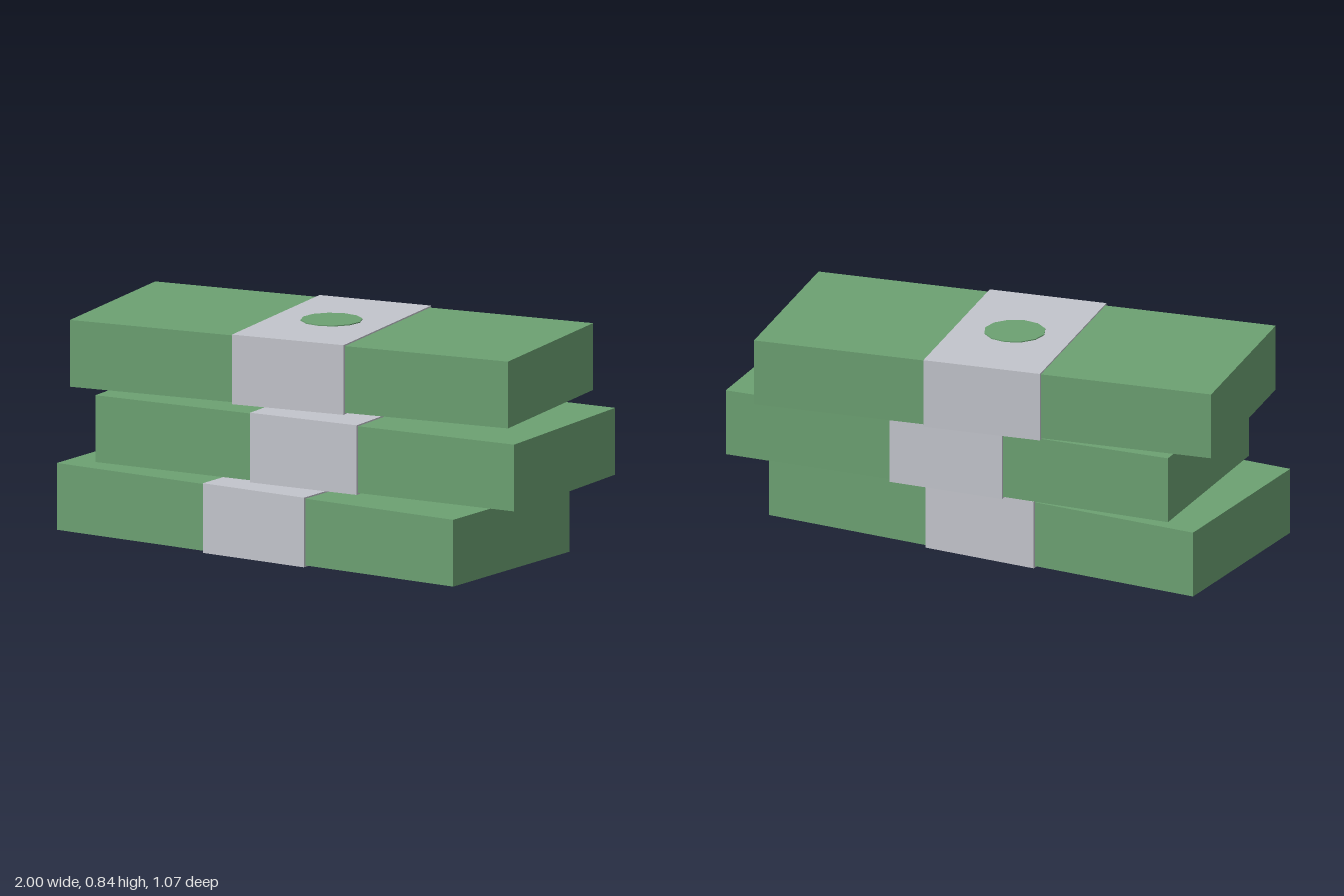
import * as THREE from 'three';

export function createModel() {
  const green = new THREE.MeshStandardMaterial({ color: 0x6ca172 });
  green.name = 'note green';
  const grey = new THREE.MeshStandardMaterial({ color: 0xc3c5cc });
  grey.name = 'band grey';

  const notesGeo = new THREE.BoxGeometry(1.828, 0.259, 0.775);
  const bandGeo = new THREE.BoxGeometry(0.466, 0.27, 0.797);
  const sealGeo = new THREE.CylinderGeometry(0.118, 0.118, 0.007, 12).toNonIndexed();
  sealGeo.computeVertexNormals();

  const add = (parent, name, geometry, material, y = 0) => {
    const mesh = new THREE.Mesh(geometry, material);
    mesh.name = name;
    mesh.position.y = y;
    parent.add(mesh);
  };

  const model = new THREE.Group();
  model.name = 'bundleStack';

  // Three banded bundles, each shifted and twisted: name, x, y, z, degrees
  const bundles = [
    ['bottomBundle', -0.058, 0.135, 0.071, -5],
    ['middleBundle', 0.086, 0.418, 0, 0],
    ['topBundle', -0.058, 0.7, -0.071, 5],
  ];
  for (const [name, x, y, z, degrees] of bundles) {
    const bundle = new THREE.Group();
    bundle.name = name;
    bundle.position.set(x, y, z);
    bundle.rotation.y = THREE.MathUtils.degToRad(degrees);
    add(bundle, 'notes', notesGeo, green);
    add(bundle, 'paperBand', bandGeo, grey);
    // Round seal lying on top of the band
    add(bundle, 'seal', sealGeo, green, 0.1355);
    model.add(bundle);
  }
  return model;
}
